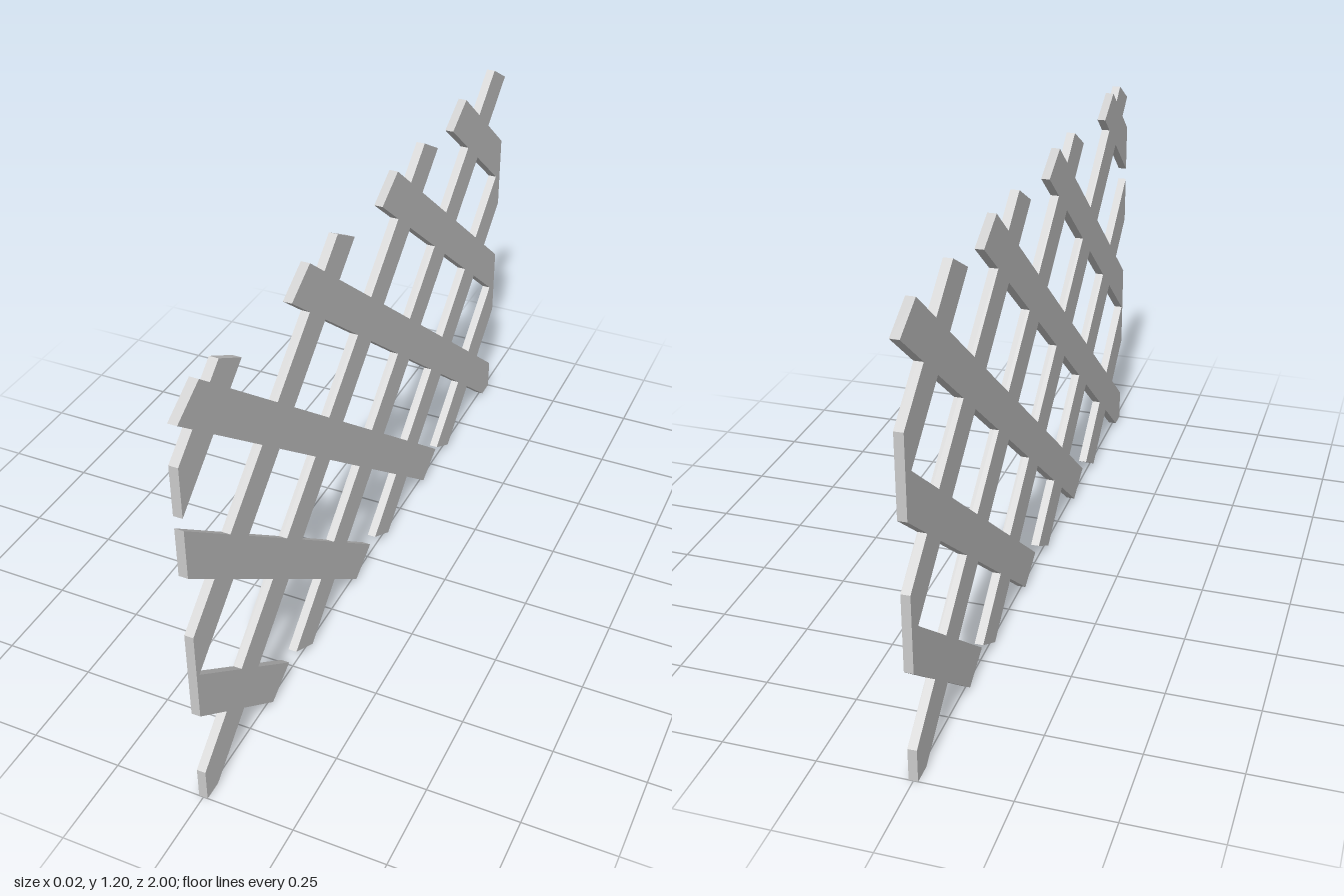
import * as THREE from 'three';

const THICK = 0.024;              // panel thickness along x
const TOP = 1.1715, FOOT = 0.0285; // heights of the slat end centres
const RUN = 1.4;                  // sideways travel of a full slat
const END = [0.0495, 0.0285];     // half of the skewed end cut

// Keep the part of a polygon where side(p) >= 0
function clip(points, side) {
  const out = [];
  points.forEach((p, i) => {
    const q = points[(i + 1) % points.length];
    const a = side(p), b = side(q);
    if (a >= 0) out.push(p);
    if (a * b < 0) out.push(p.clone().lerp(q, a / (a - b)));
  });
  return out;
}

// One diagonal slat; dir +1 falls towards the back, -1 towards the front
function slat(top, dir, toFloor, material) {
  const extra = toFloor ? 0.12 : 0; // corner slats run on to the floor
  const footU = top + dir * RUN * (1 + extra);
  const footY = FOOT - (TOP - FOOT) * extra;
  const [eu, ey] = [dir * END[0], END[1]];
  let pts = [
    new THREE.Vector2(top - eu, TOP - ey),
    new THREE.Vector2(footU - eu, footY - ey),
    new THREE.Vector2(footU + eu, footY + ey),
    new THREE.Vector2(top + eu, TOP + ey),
  ];
  // Trim to the panel's ends and the floor
  pts = clip(pts, p => p.x + 1);
  pts = clip(pts, p => 1 - p.x);
  pts = clip(pts, p => p.y);

  const geo = new THREE.ExtrudeGeometry(new THREE.Shape(pts), { depth: THICK, bevelEnabled: false });
  geo.translate(0, 0, -THICK / 2);
  geo.rotateY(Math.PI / 2); // shape x becomes -z
  return new THREE.Mesh(geo, material);
}

export function createModel() {
  const model = new THREE.Group();
  model.name = 'latticePanel';
  const material = new THREE.MeshStandardMaterial({ color: 0xcccccc });

  // Top positions of each family of slats, measured from front to back
  const families = [
    { name: 'backwardSlat', dir: 1, tops: [-1.992, -1.456, -0.94, -0.407, 0.12, 0.619], corner: 3 },
    { name: 'forwardSlat', dir: -1, tops: [-0.755, -0.153, 0.404, 0.951, 1.48, 1.97], corner: 2 },
  ];
  for (const { name, dir, tops, corner } of families) {
    tops.forEach((top, i) => {
      const mesh = slat(top, dir, i === corner, material);
      mesh.name = name + (i + 1);
      model.add(mesh);
    });
  }
  return model;
}
